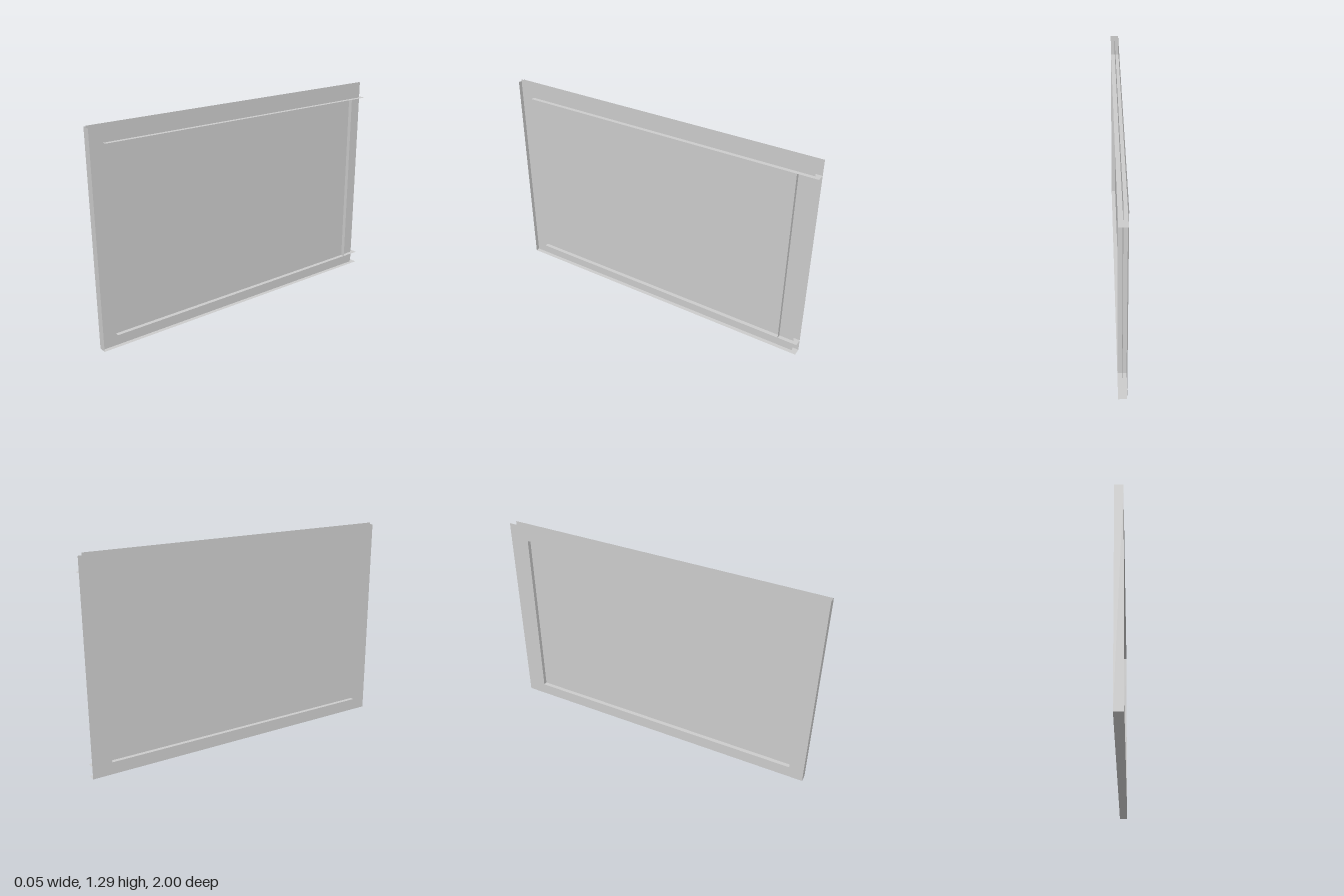
import * as THREE from 'three';

const material = new THREE.MeshStandardMaterial({ color: 0xcccccc, side: THREE.DoubleSide });

const HALF = 0.025;                 // half the panel thickness
const TOP = 1.283;                  // frame height
const OPEN = { back: -0.88, front: 0.91, low: 0.075, high: 1.19 }; // frame opening

export function createModel() {
  const group = new THREE.Group();
  const add = (name, geometry, x, y, z) => {
    const mesh = new THREE.Mesh(geometry, material);
    mesh.name = name;
    mesh.position.set(x, y, z);
    group.add(mesh);
  };

  // Horizontal sheet across the thickness, from the back edge to zFront
  const ledge = (name, y, zFront) =>
    add(name, new THREE.PlaneGeometry(2 * HALF, zFront + 1).rotateX(-Math.PI / 2), 0, y, (zFront - 1) / 2);

  // Upright sheet across the thickness
  const upright = (name, z, y0, y1) =>
    add(name, new THREE.PlaneGeometry(2 * HALF, y1 - y0), 0, (y0 + y1) / 2, z);

  // Flat frame face with a rectangular opening
  const face = new THREE.Shape([[-1, 0], [1, 0], [1, TOP], [-1, TOP]].map(p => new THREE.Vector2(...p)));
  face.holes.push(new THREE.Path([
    [OPEN.back, OPEN.low], [OPEN.back, OPEN.high], [OPEN.front, OPEN.high], [OPEN.front, OPEN.low],
  ].map(p => new THREE.Vector2(...p))));
  add('frameFace', new THREE.ShapeGeometry(face).rotateY(-Math.PI / 2), -HALF, 0, 0);

  // Thin sheet in the middle of the thickness, slightly short at the back
  add('middleSheet', new THREE.PlaneGeometry(1.97, 1.293).rotateY(Math.PI / 2), 0, 1.293 / 2, 0.015);

  // Outer edges
  ledge('bottomEdge', 0, 1);
  upright('frontEdge', 1, 0, TOP);

  // Inner edges around the opening
  ledge('lowerLedge', OPEN.low, OPEN.front);
  ledge('upperLedge', OPEN.high, OPEN.front);
  upright('backUpright', OPEN.back, OPEN.low, OPEN.high);

  return group;
}
